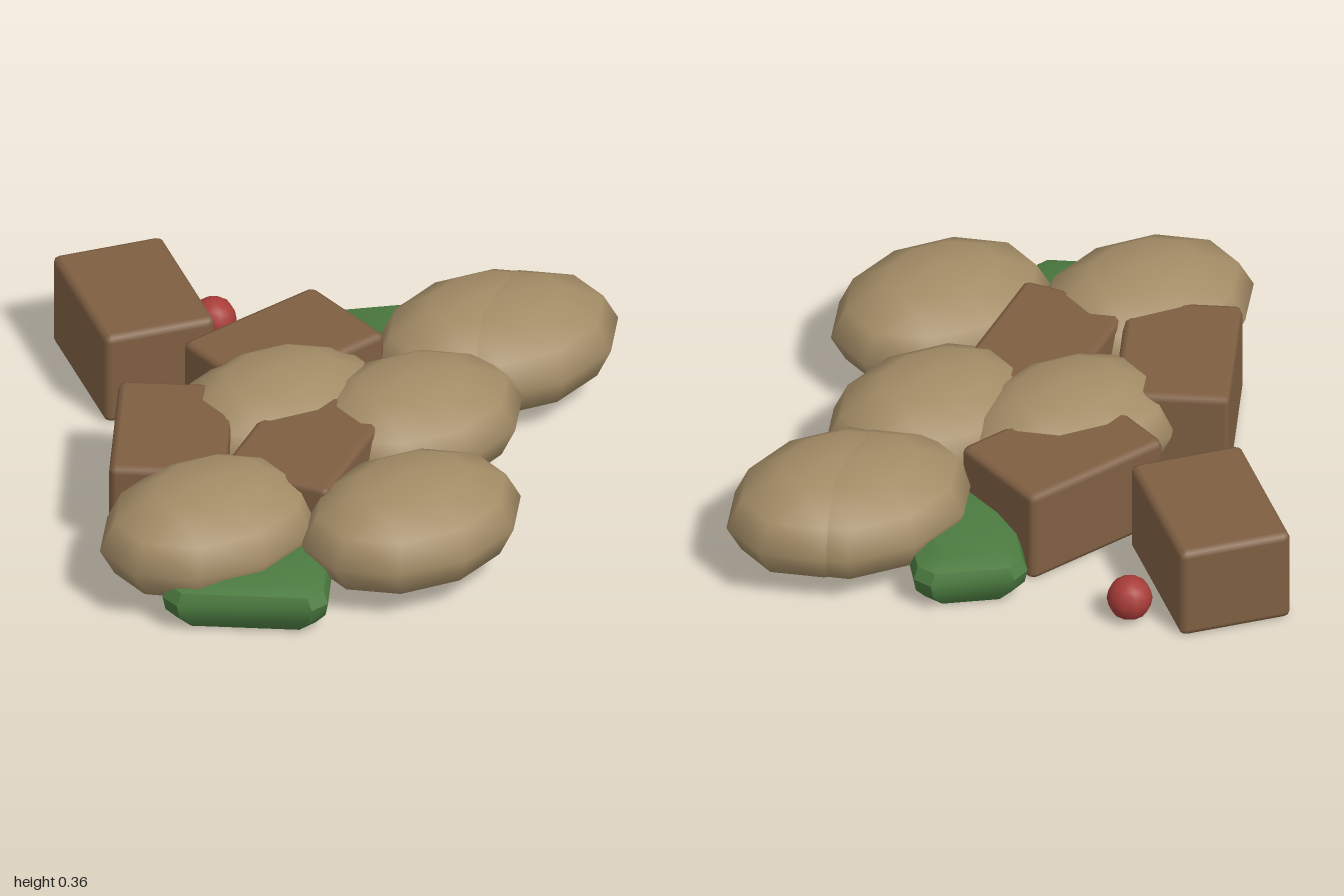
import * as THREE from 'three';
import { toCreasedNormals } from 'three/addons/utils/BufferGeometryUtils.js';
import { RoundedBoxGeometry } from 'three/addons/geometries/RoundedBoxGeometry.js';

const material = (name, color) => {
  const m = new THREE.MeshStandardMaterial({ color });
  m.name = name;
  return m;
};

// Flat bundle: chamfered rectangles stacked as [height, inset] rings
function bundleGeometry(width, length, chamfer, rings) {
  const pos = [], index = [], n = 8;
  for (const [y, inset] of rings) {
    const w = width / 2 - inset, l = length / 2 - inset, c = chamfer;
    for (const [x, z] of [[w, l - c], [w - c, l], [c - w, l], [-w, l - c],
      [-w, c - l], [c - w, -l], [w - c, -l], [w, c - l]]) pos.push(x, y, z);
  }
  for (let r = 0; r < rings.length - 1; r++) {
    for (let i = 0; i < n; i++) {
      const a = r * n + i, b = r * n + (i + 1) % n;
      index.push(a, a + n, b, b, a + n, b + n);
    }
  }
  // Bottom and top caps
  const top = (rings.length - 1) * n;
  for (let i = 1; i < n - 1; i++) {
    index.push(0, i, i + 1, top, top + i + 1, top + i);
  }
  const g = new THREE.BufferGeometry();
  g.setAttribute('position', new THREE.Float32BufferAttribute(pos, 3));
  g.setIndex(index);
  return toCreasedNormals(g, 0.6);
}

export function createModel() {
  const model = new THREE.Group();
  model.name = 'supplyPile';

  const burlap = material('burlap', 0xa38c66);
  const wood = material('wood', 0x7f5f42);
  const green = material('green', 0x4b7a3f);
  const red = material('red', 0xa83c38);

  const place = (name, geometry, mat, x, y, z, turn = 0) => {
    const mesh = new THREE.Mesh(geometry, mat);
    mesh.name = name;
    mesh.position.set(x, y, z);
    mesh.rotation.y = turn;
    model.add(mesh);
  };

  // Plump oval sacks
  const sack = new THREE.SphereGeometry(1, 10, 6).rotateY(Math.PI / 2).scale(0.36, 0.175, 0.273);
  [[-0.165, 0.695], [-0.655, 0.355], [-0.123, -0.005], [0.17, 0.262], [0.605, 0.035], [0.66, 0.085]]
    .forEach(([x, z], i) => place(`sack${i + 1}`, sack, burlap, x, 0.185, z));

  // Wooden crates with bevelled edges
  const crate = new RoundedBoxGeometry(0.345, 0.3, 0.495, 1, 0.022);
  [[-0.145, -0.685, -0.32], [0.04, -0.195, 1.6], [-0.52, -0.005, -0.71], [-0.242, 0.284, 2.094]]
    .forEach(([x, z, turn], i) => place(`crate${i + 1}`, crate, wood, x, 0.152, z, turn));

  // Low green bundles tucked under the sacks
  const bundle = bundleGeometry(0.34, 0.49, 0.045,
    [[0.008, 0.04], [0.055, 0.008], [0.1, 0], [0.135, 0.014], [0.16, 0.06]]);
  [[0.395, -0.175, -0.49], [-0.656, 0.546, 0.85]]
    .forEach(([x, z, turn], i) => place(`greenBundle${i + 1}`, bundle, green, x, 0, z, turn));

  // Red fruit
  const fruit = new THREE.SphereGeometry(0.068, 10, 8);
  [[0.155, -0.69], [0.053, 0.3], [0.27, -0.1]]
    .forEach(([x, z], i) => place(`redFruit${i + 1}`, fruit, red, x, 0.073, z));

  return model;
}
